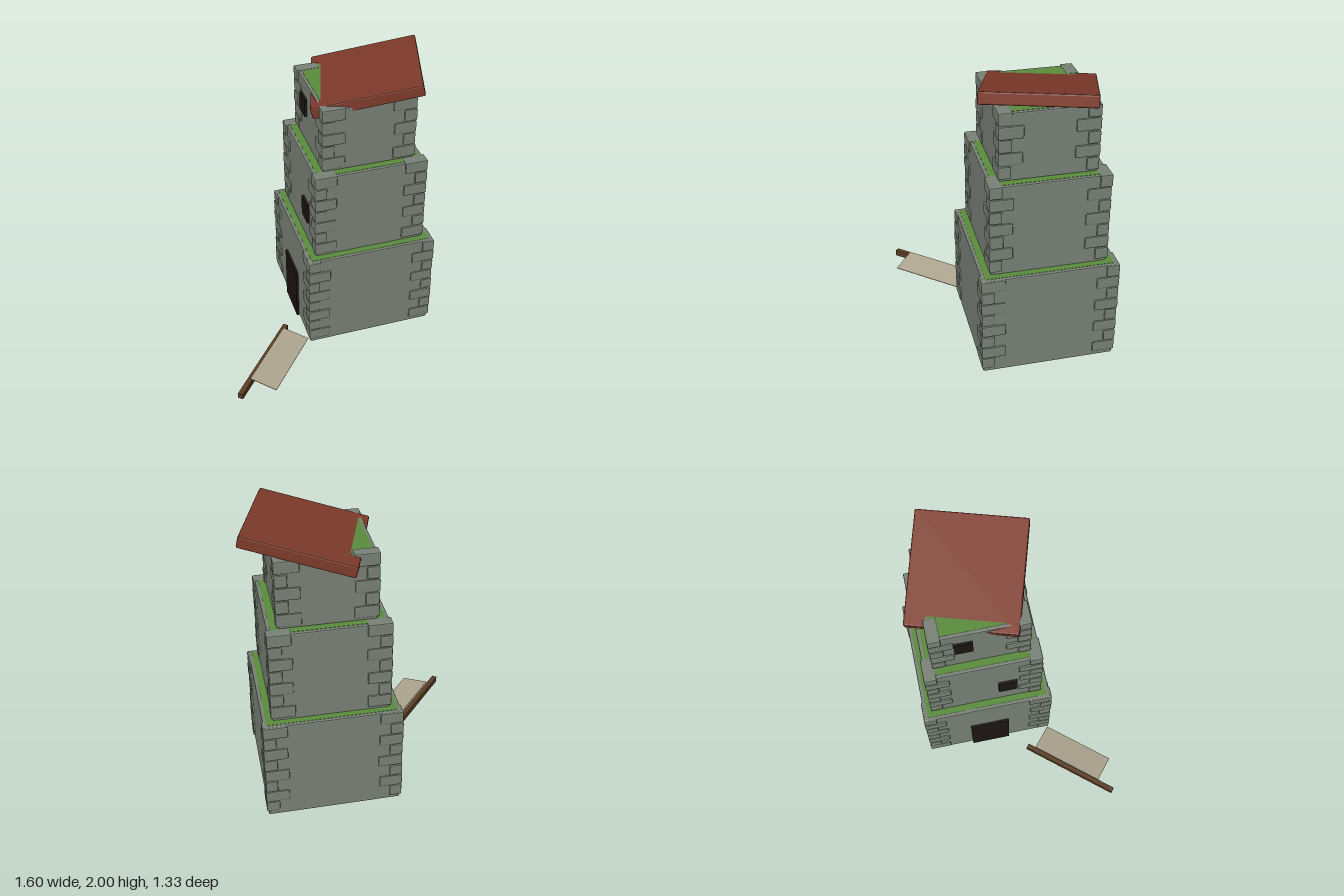
import * as THREE from 'three';
import { RoundedBoxGeometry } from 'three/addons/geometries/RoundedBoxGeometry.js';

const mat = (color) => new THREE.MeshStandardMaterial({ color, flatShading: true });
const STONE = mat(0x7a8278), GRASS = mat(0x5a8c3c), ROOF = mat(0x7d3a2a);
const DARK = mat(0x1c1513), WOOD = mat(0x5c3e24), CLOTH = mat(0xb0a690);

// Box given by its lowest and highest corner, with an optional bevel
function block(name, material, lo, hi, bevel = 0) {
  const s = hi.map((v, i) => v - lo[i]);
  const geo = bevel ? new RoundedBoxGeometry(s[0], s[1], s[2], 1, bevel) : new THREE.BoxGeometry(...s);
  const mesh = new THREE.Mesh(geo, material);
  mesh.position.set(...hi.map((v, i) => (v + lo[i]) / 2));
  mesh.name = name;
  return mesh;
}

// Small repeatable variation so the stones look hand cut
let seed = 7;
const vary = (amount) => {
  seed = (seed * 16807) % 2147483647;
  return (seed / 2147483647 - 0.5) * amount;
};

const CX = 0.275, CZ = -0.222;

// One storey: wall, grass deck and interlocking corner stones
function createTier({ name, half, y0, y1, rows, pitch, stoneTop, flipFront }) {
  const tier = new THREE.Group();
  tier.name = name;
  const w = half - 0.011, d = w - 0.022;
  tier.add(block('wall', STONE, [CX - w, y0, CZ - w], [CX + w, y1 - 0.004, CZ + w], 0.008));
  tier.add(block('grassDeck', GRASS, [CX - d, y1 - 0.02, CZ - d], [CX + d, y1 - 0.002, CZ + d]));
  for (const sx of [-1, 1]) for (const sz of [-1, 1]) {
    for (let r = 0; r < rows; r++) {
      const longX = (r % 2 === 0) !== (flipFront && sz > 0);
      const lx = (longX ? 0.158 : 0.085) + vary(0.01);
      const lz = (longX ? 0.085 : 0.158) + vary(0.01);
      const ox = CX + sx * (half + vary(0.005)), oz = CZ + sz * (half + vary(0.005));
      const top = stoneTop - r * pitch;
      const ix = ox - sx * lx, iz = oz - sz * lz;
      tier.add(block('cornerStone', STONE,
        [Math.min(ox, ix), top - pitch + 0.006 + vary(0.004), Math.min(oz, iz)],
        [Math.max(ox, ix), top, Math.max(oz, iz)], 0.008));
    }
  }
  return tier;
}

export function createModel() {
  const model = new THREE.Group();
  model.name = 'ruinedTower';

  // Three stacked storeys
  model.add(createTier({ name: 'lowerTier', half: 0.463, y0: 0.01, y1: 0.75, rows: 8, pitch: 0.0885, stoneTop: 0.743, flipFront: true }));
  model.add(createTier({ name: 'middleTier', half: 0.395, y0: 0.74, y1: 1.39, rows: 7, pitch: 0.09, stoneTop: 1.391, flipFront: false }));
  model.add(createTier({ name: 'upperTier', half: 0.325, y0: 1.385, y1: 1.848, rows: 5, pitch: 0.0905, stoneTop: 1.85, flipFront: false }));

  // Dark openings on the right side
  model.add(block('door', DARK, [-0.193, 0, -0.36], [-0.15, 0.415, -0.075]));
  model.add(block('middleWindow', DARK, [-0.126, 0.915, -0.13], [-0.09, 1.065, 0]));
  model.add(block('upperWindow', DARK, [-0.056, 1.6, -0.39], [-0.02, 1.735, -0.27]));

  // Tilted, slipped roof slab
  const roof = new THREE.Mesh(new RoundedBoxGeometry(0.73, 0.08, 0.712, 1, 0.01), ROOF);
  roof.name = 'roofSlab';
  roof.position.set(0.351, 1.876, -0.22);
  roof.rotation.set(0, -0.3, 0.235, 'YXZ');
  model.add(roof);

  // Fallen banner: pole along local x, cloth sloping down towards local +z
  const banner = new THREE.Group();
  banner.name = 'fallenBanner';
  banner.position.set(-0.552, 0, 0.327);
  banner.rotation.y = Math.atan2(0.56, 0.475);
  banner.add(block('pole', WOOD, [-0.367, 0.008, -0.018], [0.367, 0.052, 0.018]));
  const cloth = new THREE.Mesh(new THREE.BoxGeometry(0.54, 0.005, 0.2), CLOTH);
  cloth.name = 'cloth';
  cloth.position.set(0.036, 0.06, 0.11);
  cloth.rotation.x = 0.15;
  banner.add(cloth);
  model.add(banner);

  return model;
}
